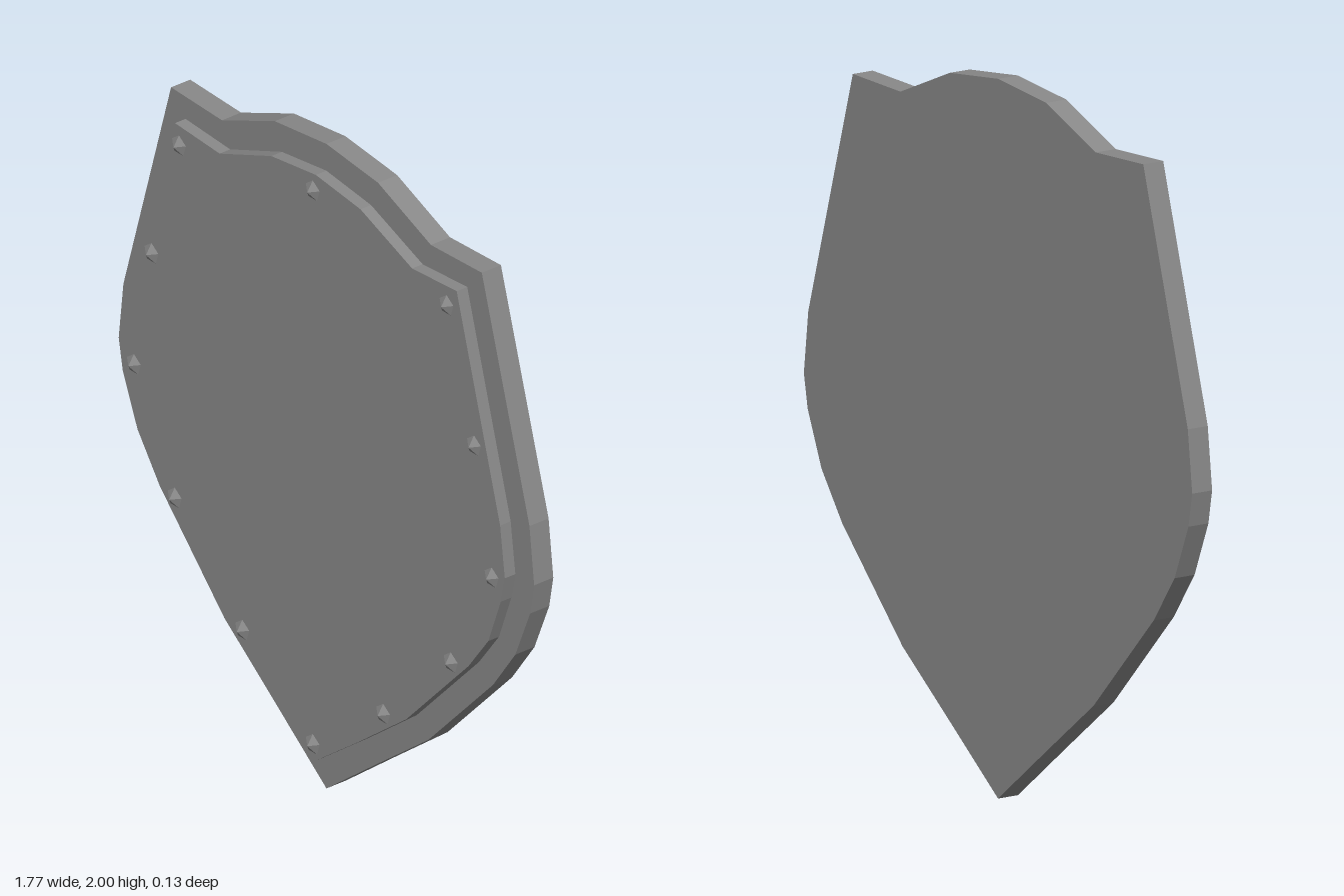
import * as THREE from 'three';

const material = new THREE.MeshStandardMaterial({ color: 0x888888, flatShading: true });

// Right half of each outline, from top centre to bottom tip
const plateEdge = [[0, 2], [0.22, 1.975], [0.445, 1.88], [0.662, 1.888], [0.865, 1.19], [0.885, 1.015],
  [0.868, 0.92], [0.805, 0.765], [0.71, 0.63], [0.435, 0.34], [0.21, 0.165], [0, 0]];
const rimOuter = [[0, 1.917], [0.19, 1.893], [0.41, 1.805], [0.6, 1.817], [0.785, 1.17], [0.805, 1.015],
  [0.788, 0.935], [0.735, 0.79], [0.65, 0.675], [0.385, 0.395], [0.18, 0.235], [0, 0.1]];
const rimInner = [[0, 1.833], [0.185, 1.81], [0.39, 1.725], [0.54, 1.728], [0.705, 1.165], [0.72, 1.01],
  [0.703, 0.925], [0.655, 0.8], [0.59, 0.7], [0.33, 0.455], [0.16, 0.325], [0, 0.205]];

// Mirrors a half outline into a closed loop
function loop(half) {
  const left = half.slice(1, -1).reverse().map(([x, y]) => [-x, y]);
  return [...half, ...left].map(([x, y]) => new THREE.Vector2(x, y));
}

function slab(name, shape, z, depth) {
  const geometry = new THREE.ExtrudeGeometry(shape, { depth, bevelEnabled: false });
  geometry.translate(0, 0, z);
  const mesh = new THREE.Mesh(geometry, material);
  mesh.name = name;
  return mesh;
}

export function createModel() {
  const shield = new THREE.Group();
  shield.name = 'shield';

  // Flat backing plate
  shield.add(slab('plate', new THREE.Shape(loop(plateEdge)), -0.067, 0.067));

  // Raised band on the face
  const band = new THREE.Shape(loop(rimOuter));
  band.holes.push(new THREE.Path(loop(rimInner)));
  shield.add(slab('rim', band, 0, 0.037));

  // Five-sided pointed rivets along the band, one corner up
  const rivet = new THREE.SphereGeometry(0.031, 5, 2);
  rivet.rotateX(Math.PI / 2).rotateZ(-Math.PI / 2).scale(1, 1, 0.62);
  const rivets = new THREE.Group();
  rivets.name = 'rivets';
  const spots = [[0, 1.873], [0.57, 1.765], [0.687, 1.38], [0.762, 1.003], [0.588, 0.664], [0.3, 0.379], [0, 0.155]];
  for (const [x, y] of spots) {
    for (const side of x ? [1, -1] : [1]) {
      const mesh = new THREE.Mesh(rivet, material);
      mesh.name = 'rivet';
      mesh.position.set(side * x, y, 0.048);
      rivets.add(mesh);
    }
  }
  shield.add(rivets);
  return shield;
}
